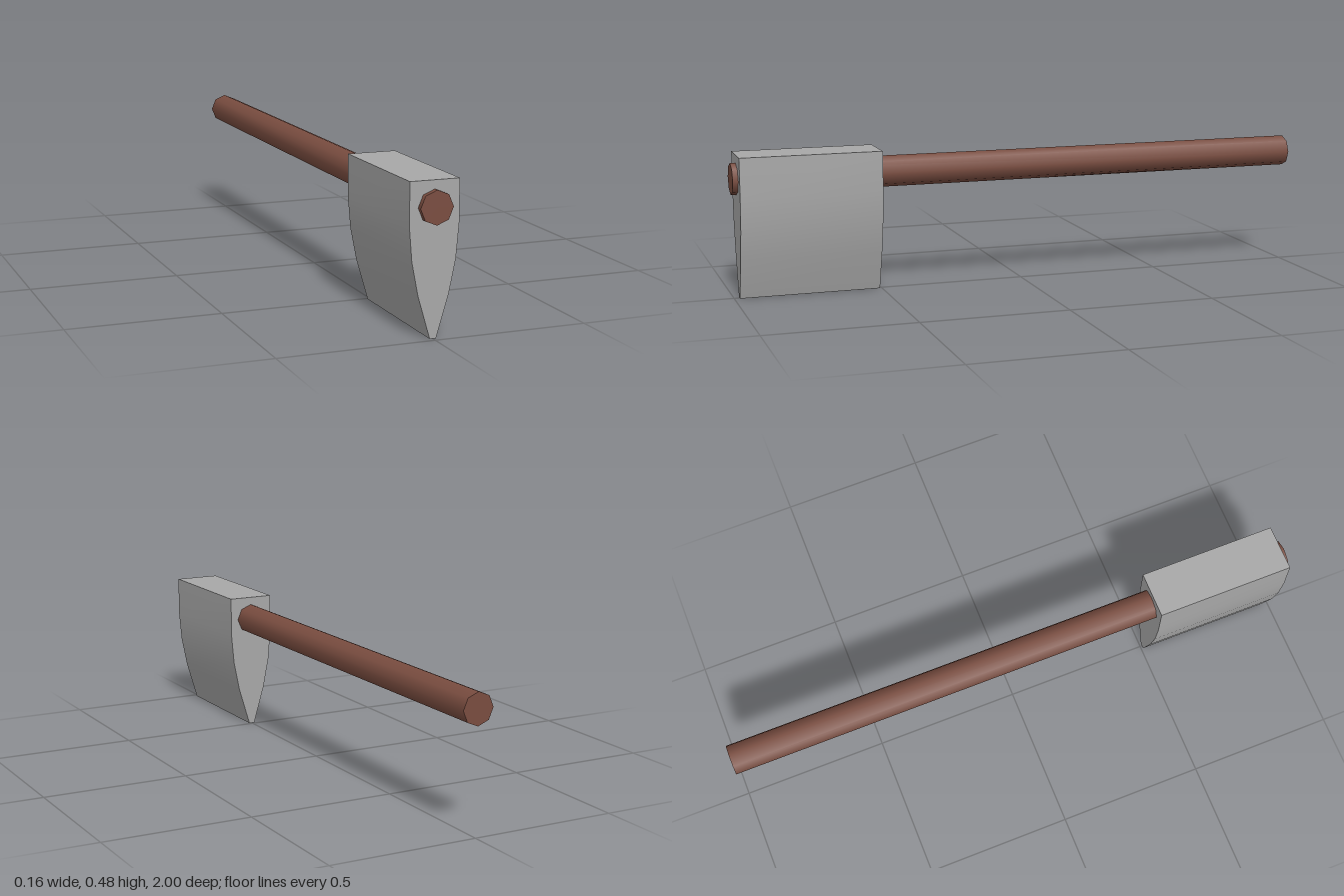
import * as THREE from 'three';
import { toCreasedNormals } from 'three/addons/utils/BufferGeometryUtils.js';

export function createModel() {
  const group = new THREE.Group();
  group.name = 'axe';

  const wood = new THREE.MeshStandardMaterial({ color: 0x7a4d40 });
  wood.name = 'brown wood';
  const steel = new THREE.MeshStandardMaterial({ color: 0xa8a8a8 });
  steel.name = 'grey steel';

  // Eight-sided handle lying along z
  const handleGeometry = new THREE.CylinderGeometry(0.053, 0.053, 2, 8);
  handleGeometry.rotateX(Math.PI / 2);
  const handle = new THREE.Mesh(handleGeometry, wood);
  handle.name = 'handle';
  handle.position.y = 0.4;
  group.add(handle);

  // Wedge head: half profile from poll to cutting edge, mirrored across x
  const half = [[0.08, 0.48], [0.08, 0.345], [0.071, 0.24], [0.05, 0.135], [0.01, 0]];
  const mirrored = half.map(([x, y]) => [-x, y]).reverse();
  const profile = [...half, ...mirrored].map(([x, y]) => new THREE.Vector2(x, y));
  const headGeometry = new THREE.ExtrudeGeometry(new THREE.Shape(profile), {
    depth: 0.475,
    bevelEnabled: false,
  });
  headGeometry.translate(0, 0, 0.507);
  const head = new THREE.Mesh(toCreasedNormals(headGeometry, Math.PI / 6), steel);
  head.name = 'axeHead';
  group.add(head);

  return group;
}
